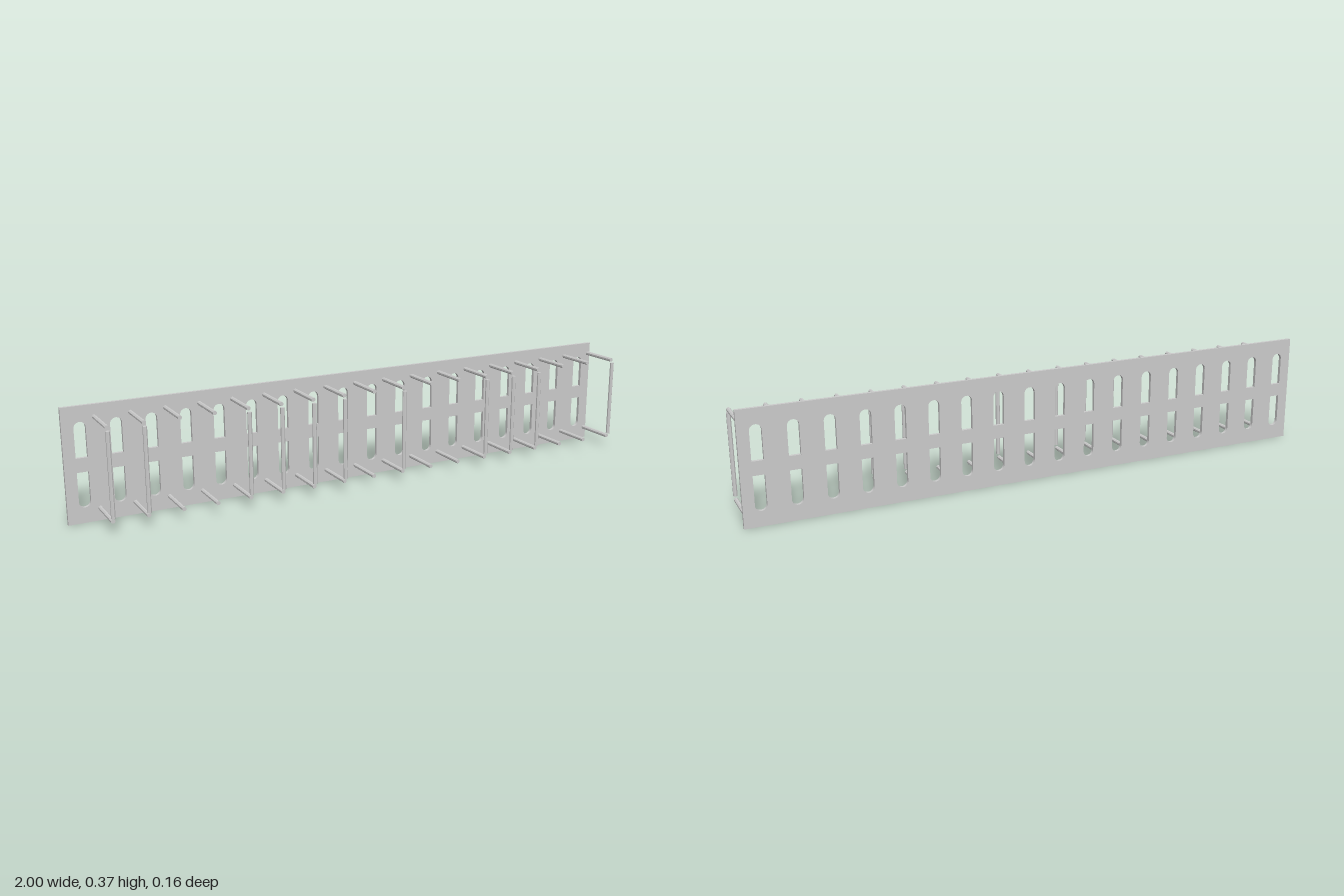
import * as THREE from 'three';

export function createModel() {
  const group = new THREE.Group();
  const material = new THREE.MeshStandardMaterial({ color: 0xcccccc, flatShading: true });
  const columns = 18, pitch = 2 / columns, height = 0.371;

  function add(name, geometry, x, y, z) {
    const mesh = new THREE.Mesh(geometry, material);
    mesh.name = name;
    mesh.position.set(x, y, z);
    group.add(mesh);
  }

  // Slot with a square inner end and a rounded outer end
  function slot(x, inner, outer) {
    const r = 0.0185, up = outer > inner;
    const arcY = outer + (up ? -r : r);
    const path = new THREE.Path();
    path.moveTo(x - r, inner);
    path.lineTo(x + r, inner);
    path.lineTo(x + r, arcY);
    path.absarc(x, arcY, r, 0, up ? Math.PI : -Math.PI, !up);
    path.closePath();
    return path;
  }

  // Slotted back plate
  const plate = new THREE.Shape([
    new THREE.Vector2(-1, 0), new THREE.Vector2(1, 0),
    new THREE.Vector2(1, height), new THREE.Vector2(-1, height),
  ]);
  for (let i = 0; i < columns; i++) {
    const x = -1 + (i + 0.5) * pitch;
    plate.holes.push(slot(x, 0.208, 0.321), slot(x, 0.163, 0.05));
  }
  const plateGeometry = new THREE.ExtrudeGeometry(plate, { depth: 0.011, bevelEnabled: false, curveSegments: 8 });
  add('backPlate', plateGeometry, 0, 0, -0.08);

  // Rows of pins, some of them closed by an upright retaining bar
  const pin = new THREE.CylinderGeometry(0.007, 0.007, 0.138, 8).rotateY(Math.PI / 8).rotateX(Math.PI / 2);
  const bar = new THREE.CylinderGeometry(0.007, 0.007, 0.27, 8).rotateY(Math.PI / 8);
  const barred = [0, 1, 4, 5, 6, 7, 9, 12, 13, 14, 17];
  for (let i = 0; i < columns; i++) {
    const x = -0.899 + i * pitch;
    add('lowerPin', pin, x, 0.041, -0.001);
    add('upperPin', pin, x, 0.332, -0.001);
    if (barred.includes(i)) add('retainingBar', bar, x, 0.187, 0.073);
  }
  return group;
}
